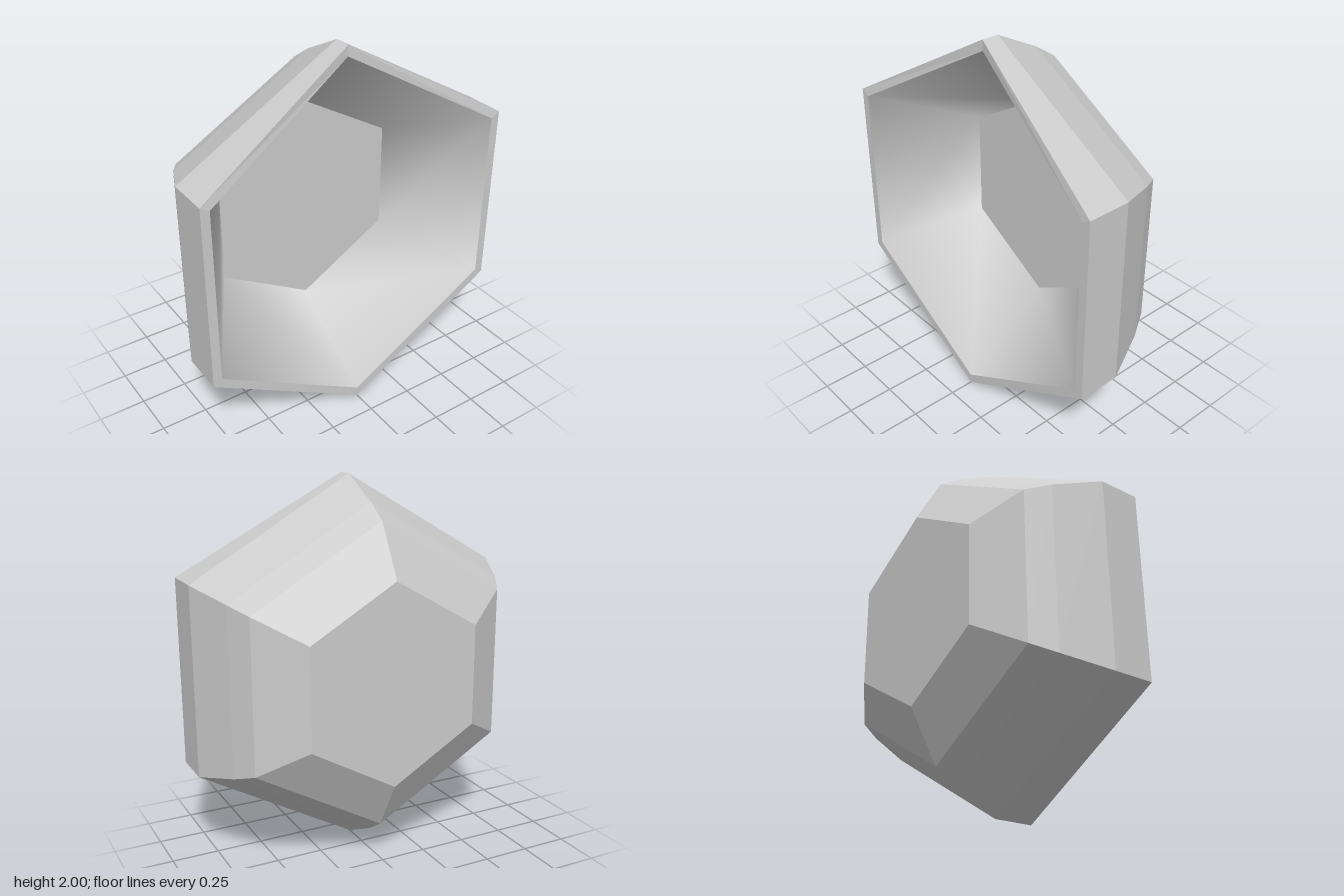
import * as THREE from 'three';

const SIDES = 6;
const TOP_DROP = 0.14; // how far the topmost rim corner sits behind the others

// Corner k of a hexagonal ring [radius, z, isRim]; corner 0 points straight up
function corner([r, z, rim], k) {
  const a = Math.PI / 2 + (k % SIDES) * 2 * Math.PI / SIDES;
  const drop = rim && k % SIDES === 0 ? TOP_DROP : 0;
  return [r * Math.cos(a), 1 + r * Math.sin(a), z - drop];
}

// Skins consecutive rings; a ring of radius 0 closes the skin to a cap
function skin(name, rings, smooth = false) {
  const positions = [], index = [];
  const row = SIDES;
  rings.forEach(ring => {
    for (let k = 0; k < SIDES; k++) positions.push(...corner(ring, k));
  });
  for (let i = 0; i < rings.length - 1; i++) {
    for (let k = 0; k < SIDES; k++) {
      const n = (k + 1) % SIDES;
      const a = i * row + k, an = i * row + n;
      const b = a + row, bn = an + row;
      if (rings[i + 1][0] > 0) index.push(a, b, bn);
      if (rings[i][0] > 0) index.push(a, bn, an);
    }
  }
  const geometry = new THREE.BufferGeometry();
  geometry.setAttribute('position', new THREE.Float32BufferAttribute(positions, 3));
  geometry.setIndex(index);
  geometry.computeVertexNormals();
  const material = new THREE.MeshStandardMaterial({ color: 0xcccccc, flatShading: !smooth });
  const mesh = new THREE.Mesh(geometry, material);
  mesh.name = name;
  return mesh;
}

export function createModel() {
  const group = new THREE.Group();
  group.name = 'hexagonalBowl';

  const floor = [0.59, -0.14];
  const rimInner = [0.945, 0.37, true];
  const rimOuter = [1, 0.37, true];

  group.add(
    // Flat floor inside the recess
    skin('floor', [[0, -0.14], floor]),
    // Sloping, softly shaded walls of the recess
    skin('innerWall', [floor, rimInner], true),
    // Narrow front lip
    skin('rim', [rimInner, rimOuter]),
    // Faceted outside, from the rim to the bevelled back
    skin('outerShell', [rimOuter, [1, 0.14], [0.88, -0.1], [0.8, -0.22], [0.53, -0.37]]),
    // Flat back
    skin('backPlate', [[0.53, -0.37], [0, -0.37]]),
  );
  return group;
}
